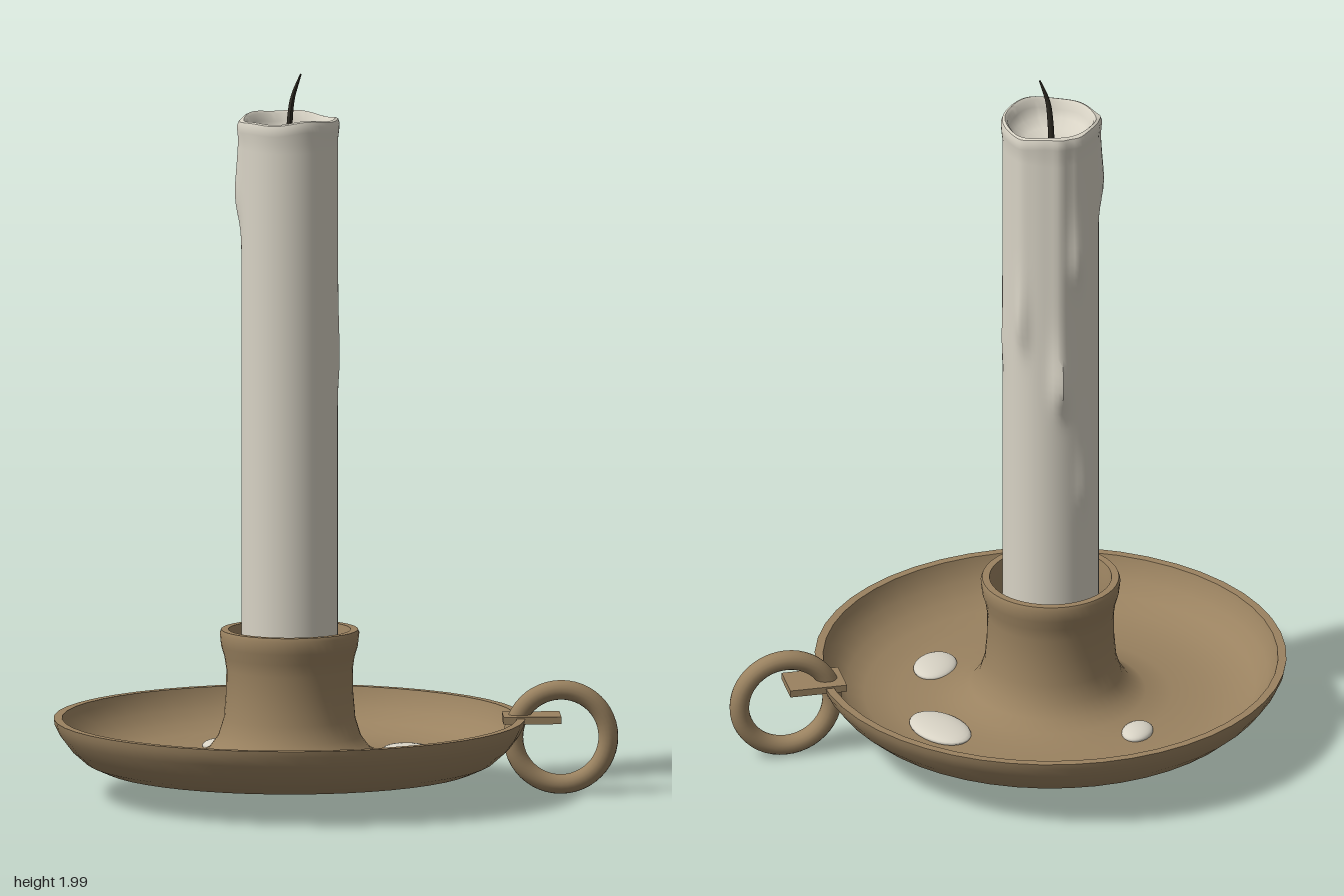
import * as THREE from 'three';
import { toCreasedNormals } from 'three/addons/utils/BufferGeometryUtils.js';

const AXIS_X = -0.127; // the dish and candle sit left of centre, balanced by the ring

const brass = new THREE.MeshStandardMaterial({ name: 'aged brass', color: 0x9a8260 });
const wax = new THREE.MeshStandardMaterial({ name: 'ivory wax', color: 0xd8d3c5 });
const char = new THREE.MeshStandardMaterial({ name: 'charred wick', color: 0x2e2a22 });

function lathe(points, segments) {
  return new THREE.LatheGeometry(points.map(([r, y]) => new THREE.Vector2(r, y)), segments);
}

function add(group, name, geometry, material, x = 0, y = 0, z = 0) {
  const mesh = new THREE.Mesh(geometry, material);
  mesh.name = name;
  mesh.position.set(x, y, z);
  group.add(mesh);
  return mesh;
}

// Drips: direction from the candle axis, height of the bead, ridge and bead thickness
const drips = [
  { dir: [-1, 0], y: 1.64, ridge: 0.007, bead: 0.012, width: 0.16 },
  { dir: [0.02, -1], y: 1.1, ridge: 0.008, bead: 0.024, width: 0.17 },
  { dir: [0.75, -0.66], y: 1.28, ridge: 0.004, bead: 0.015, width: 0.15 },
  { dir: [-0.35, -0.94], y: 1.48, ridge: 0.006, bead: 0.012, width: 0.15 },
  { dir: [-0.5, -0.86], y: 0.78, ridge: 0.002, bead: 0.008, width: 0.15 },
  { dir: [1, -0.05], y: 1.2, ridge: 0.001, bead: 0.005, width: 0.14 },
];

function dripOffset(angle, y) {
  let offset = 0;
  for (const d of drips) {
    let da = angle - Math.atan2(d.dir[0], d.dir[1]);
    da = Math.atan2(Math.sin(da), Math.cos(da));
    const across = Math.exp(-((da / d.width) ** 2));
    const above = THREE.MathUtils.smoothstep(y, d.y - 0.05, d.y + 0.05);
    const fall = y > d.y ? 0.13 : 0.06; // bead tapers slowly upward, quickly downward
    offset += across * (d.ridge * above + d.bead * Math.exp(-(((y - d.y) / fall) ** 2)));
  }
  return offset;
}

function candleGeometry() {
  const profile = [[0, 0.26], [0.132, 0.26]];
  for (let i = 0; i <= 60; i++) profile.push([0.132, 0.3 + (1.52 * i) / 60]);
  profile.push([0.135, 1.845], [0.136, 1.862], [0.132, 1.874], [0.125, 1.877], [0.118, 1.87],
    [0.112, 1.85], [0.1, 1.828], [0.07, 1.812], [0.03, 1.805], [0, 1.804]);
  const geometry = lathe(profile, 72);
  const p = geometry.attributes.position;
  for (let i = 0; i < p.count; i++) {
    const x = p.getX(i), y = p.getY(i), z = p.getZ(i);
    const r = Math.hypot(x, z), a = Math.atan2(x, z);
    if (r > 0.13) {
      const k = 1 + dripOffset(a, y) / r;
      p.setX(i, x * k);
      p.setZ(i, z * k);
    }
    // Uneven melted lip
    if (y > 1.84 && r > 0.1) p.setY(i, y + 0.005 * Math.sin(2 * a + 0.6) + 0.003 * Math.sin(5 * a));
  }
  return toCreasedNormals(geometry, 0.8);
}

export function createModel() {
  const model = new THREE.Group();
  model.name = 'chamberstick';

  // Dish with rolled-up wall, and the flared socket rising from its floor
  const holder = [
    [0, 0.07], [0.3, 0.071], [0.45, 0.075], [0.515, 0.083], [0.56, 0.103], [0.6, 0.138],
    [0.628, 0.175], [0.642, 0.203], [0.645, 0.22], [0.622, 0.22], [0.616, 0.2],
    [0.595, 0.165], [0.56, 0.132], [0.51, 0.11], [0.43, 0.1], [0.33, 0.104], [0.26, 0.115],
    [0.22, 0.138], [0.195, 0.172], [0.18, 0.22], [0.174, 0.29], [0.173, 0.355], [0.178, 0.39],
    [0.187, 0.42], [0.191, 0.455], [0.187, 0.465], [0.167, 0.465], [0.162, 0.44],
    [0.152, 0.38], [0.15, 0.28], [0, 0.28],
  ];
  add(model, 'dishAndSocket', toCreasedNormals(lathe(holder, 48), 0.7), brass, AXIS_X);

  // Finger ring and the tab that joins it to the rim
  add(model, 'fingerRing', new THREE.TorusGeometry(0.13, 0.027, 16, 48), brass, 0.615, 0.162, 0);
  add(model, 'ringTab', new THREE.BoxGeometry(0.158, 0.02, 0.11), brass, 0.535, 0.215, 0);

  // Candle
  add(model, 'candle', candleGeometry(), wax, AXIS_X);

  // Curved wick, narrowing to its tip
  const curve = new THREE.CatmullRomCurve3([[-0.13, 1.79], [-0.127, 1.86], [-0.119, 1.93], [-0.096, 1.998]]
    .map(([x, y]) => new THREE.Vector3(x, y, 0)));
  const rings = 16, sides = 10;
  const wick = new THREE.TubeGeometry(curve, rings, 0.0085, sides);
  const wp = wick.attributes.position, v = new THREE.Vector3();
  for (let i = 0; i < wp.count; i++) {
    const t = Math.floor(i / (sides + 1)) / rings;
    const c = curve.getPointAt(t);
    v.fromBufferAttribute(wp, i).sub(c).multiplyScalar(1 - 0.75 * t ** 3).add(c);
    wp.setXYZ(i, v.x, v.y, v.z);
  }
  wick.computeVertexNormals();
  add(model, 'wick', wick, char);

  // Wax spots fallen on the dish floor: x, z, half width, half length, turn
  const spots = [
    [-0.308, -0.275, 0.042, 0.058, -0.5],
    [0.213, -0.137, 0.07, 0.108, 0.4],
    [0.145, 0.225, 0.058, 0.08, -0.5],
  ];
  for (const [x, z, w, l, turn] of spots) {
    const spot = add(model, 'waxSpot', new THREE.SphereGeometry(1, 28, 14), wax, x, 0.106, z);
    spot.scale.set(w, 0.018, l);
    spot.rotation.y = turn;
  }

  return model;
}
